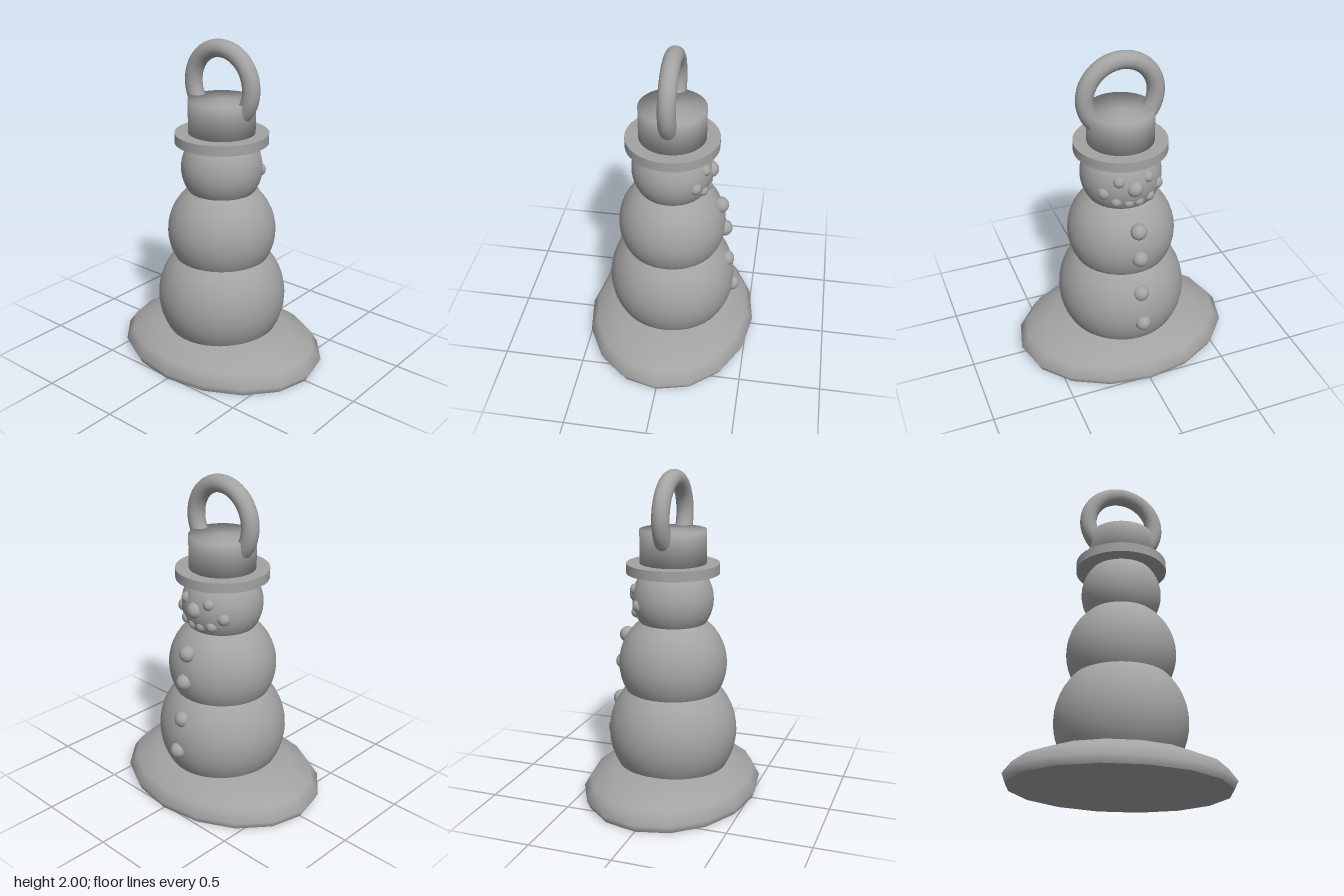
import * as THREE from 'three';
import { mergeVertices } from 'three/addons/utils/BufferGeometryUtils.js';

export function createModel() {
  const model = new THREE.Group();
  model.name = 'snowmanPendant';
  const metal = new THREE.MeshStandardMaterial({ color: 0xa3a3a3 });
  metal.name = 'plain grey';

  const add = (name, geometry, x = 0, y = 0, z = 0, parent = model) => {
    const mesh = new THREE.Mesh(geometry, metal);
    mesh.name = name;
    mesh.position.set(x, y, z);
    parent.add(mesh);
    return mesh;
  };
  const ball = (name, r, x, y, z, parent = model, seg = 48) =>
    add(name, new THREE.SphereGeometry(r, seg, seg / 2), x, y, z, parent);

  // Oval snow mound: 16-sided dome with a flat underside
  const mound = new THREE.Group();
  mound.name = 'snowMound';
  mound.scale.z = 0.68 / 0.535;
  model.add(mound);
  const profile = [new THREE.Vector2(0.517, 0.005)];
  for (let i = 0; i <= 4; i++) {
    const a = (i * Math.PI) / 8;
    profile.push(new THREE.Vector2(0.535 * Math.cos(a), 0.05 + 0.185 * Math.sin(a)));
  }
  profile[5].x = 0;
  add('moundTop', new THREE.LatheGeometry(profile, 16), 0, 0, 0, mound);
  add('moundBottom', new THREE.CircleGeometry(0.517, 16).rotateX(Math.PI / 2), 0, 0.005, 0, mound);

  // Three stacked snowballs
  ball('lowerBody', 0.395, 0, 0.4, 0);
  ball('upperBody', 0.33, 0, 0.83, 0);
  ball('head', 0.245, 0, 1.23, 0);

  // Hat: crisp brim, softly shaded crown
  add('hatBrim', new THREE.CylinderGeometry(0.28, 0.28, 0.06, 64), 0, 1.42, 0);
  let crown = new THREE.CylinderGeometry(0.2, 0.2, 0.2, 64);
  crown.deleteAttribute('uv');
  crown.deleteAttribute('normal');
  crown = mergeVertices(crown);
  crown.computeVertexNormals();
  add('hatCrown', crown, 0, 1.55, 0);

  // Hanging ring standing in the y-z plane
  add('hangingRing', new THREE.TorusGeometry(0.2165, 0.0525, 24, 64).rotateY(Math.PI / 2), 0, 1.731, 0);

  // Buttons down the +x side: [x, y]
  [[0.297, 0.98], [0.325, 0.805], [0.345, 0.56], [0.385, 0.36]].forEach(([x, y], i) =>
    ball(`button${i + 1}`, 0.05, x, y, 0, model, 24));

  // Face on the +x side
  ball('nose', 0.05, 0.228, 1.24, 0, model, 24);
  for (const s of [-1, 1]) {
    ball('eye', 0.036, 0.204, 1.29, s * 0.088, model, 24);
    ball('mouthOuter', 0.04, 0.157, 1.208, s * 0.162, model, 24);
    ball('mouthMiddle', 0.036, 0.192, 1.155, s * 0.1, model, 24);
    ball('mouthInner', 0.033, 0.208, 1.142, s * 0.031, model, 24);
  }
  return model;
}
